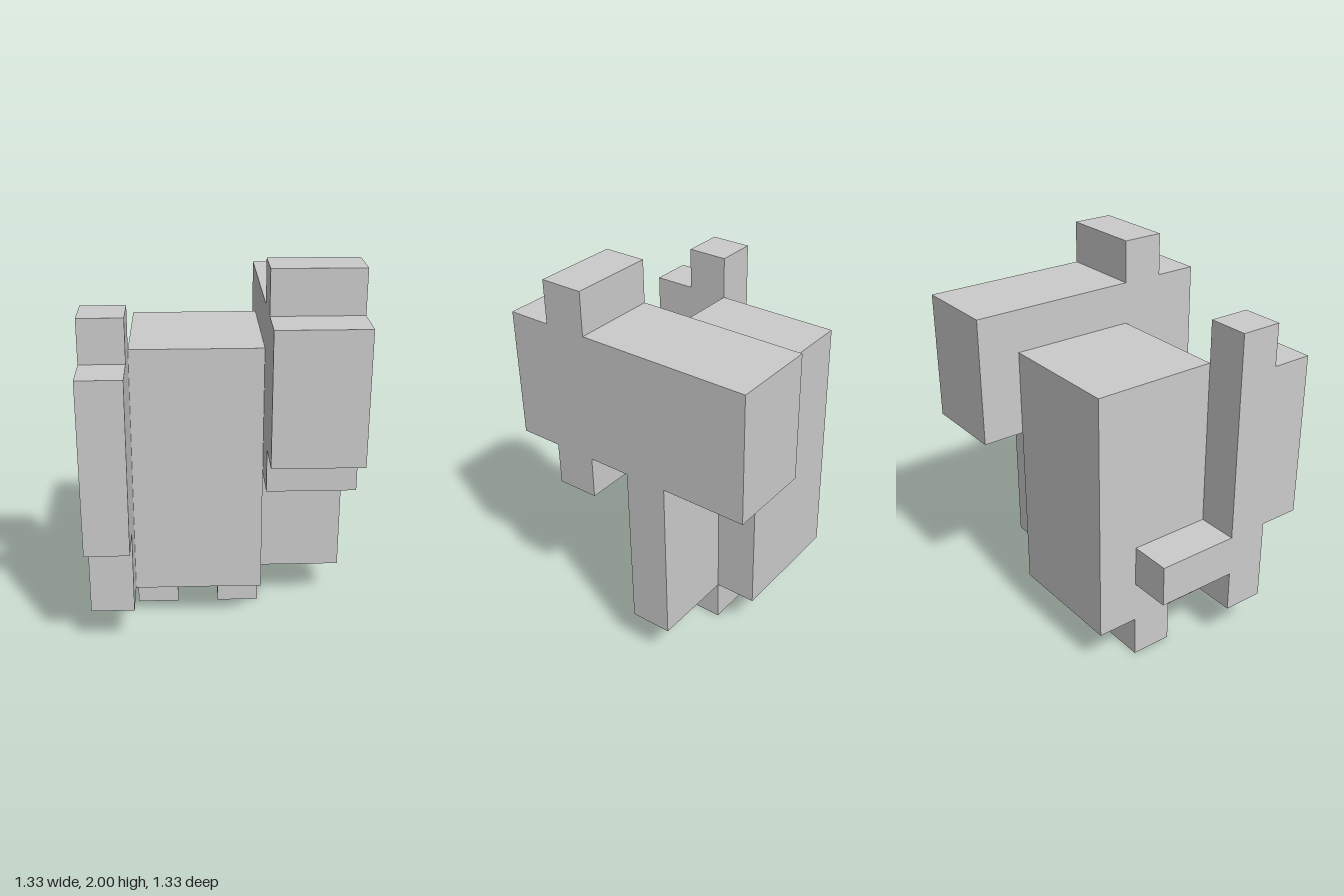
import * as THREE from 'three';

const U = 2 / 9; // size of one block

export function createModel() {
  const model = new THREE.Group();
  const material = new THREE.MeshStandardMaterial({ color: 0xcccccc, flatShading: true });

  // Box given by its block ranges along each axis
  const block = (parent, name, [x0, x1], [y0, y1], [z0, z1]) => {
    const geometry = new THREE.BoxGeometry((x1 - x0) * U, (y1 - y0) * U, (z1 - z0) * U);
    const mesh = new THREE.Mesh(geometry, material);
    mesh.position.set((x0 + x1) / 2 * U, (y0 + y1) / 2 * U, (z0 + z1) / 2 * U);
    mesh.name = name;
    parent.add(mesh);
  };
  const group = (name) => {
    const g = new THREE.Group();
    g.name = name;
    model.add(g);
    return g;
  };

  // Body and feet
  block(model, 'body', [-2, 1], [1, 7], [-2, 1]);
  block(model, 'rightFoot', [-2, -1], [0, 1], [-1, 0]);
  block(model, 'leftFoot', [0, 1], [0, 1], [-1, 0]);

  // Left arm: hanging post carrying a long shoulder block
  const left = group('leftArm');
  block(left, 'leftArmPost', [1, 3], [1, 5], [-1, 0]);
  block(left, 'shoulderBlock', [1, 3], [5, 8], [-3, 3]);
  block(left, 'shoulderRidge', [1, 3], [8, 9], [1, 2]);
  block(left, 'shoulderGrip', [1, 3], [4, 5], [1, 2]);

  // Right arm: forearm holding an upright shield
  const right = group('rightArm');
  block(right, 'rightForearm', [-3, -2], [2, 3], [-1, 1]);
  block(right, 'shieldBack', [-3, -2], [1, 8], [1, 2]);
  block(right, 'shieldFront', [-3, -2], [3, 7], [2, 3]);

  return model;
}
